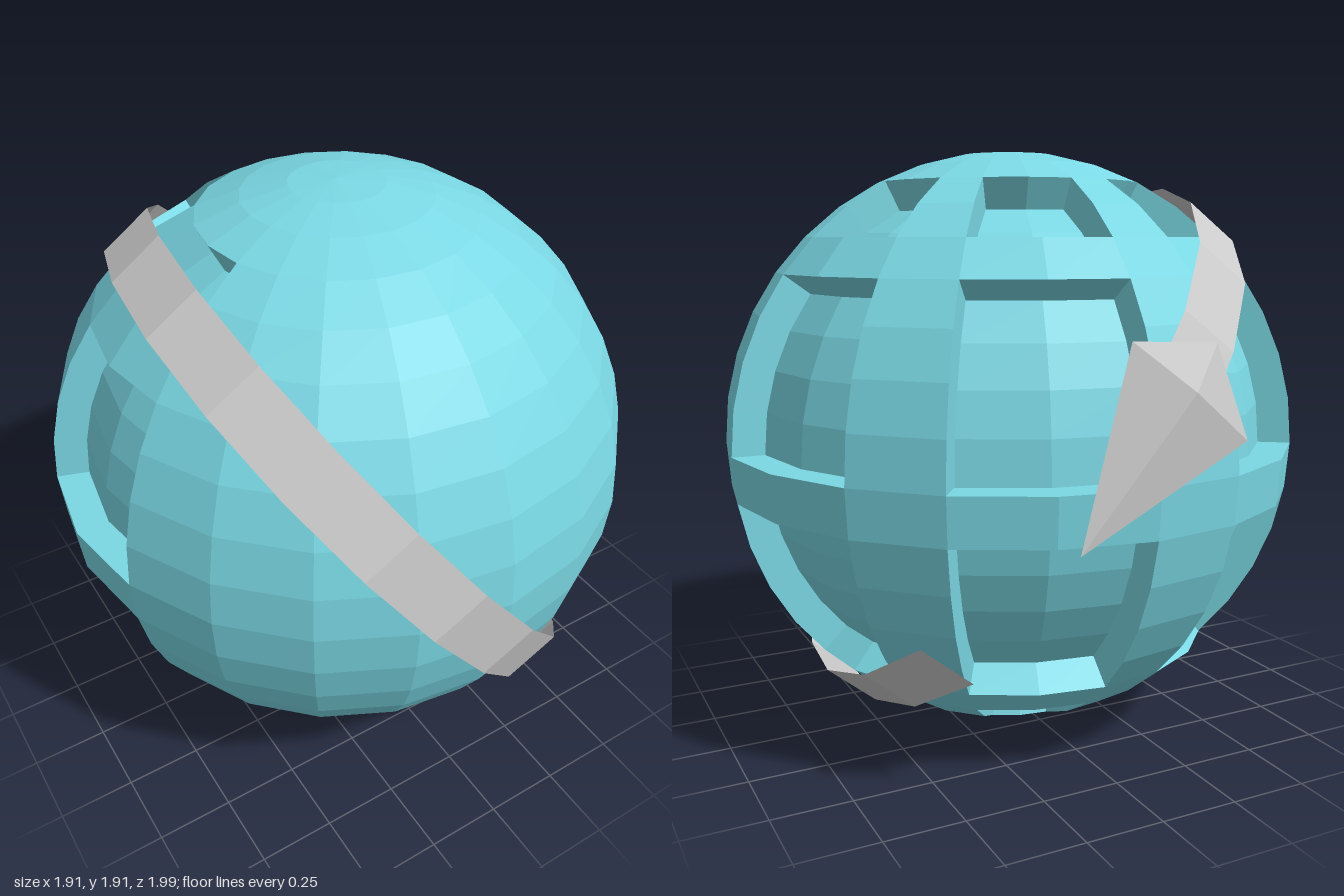
import * as THREE from 'three';

const R = 0.955, R_INNER = 0.85, CENTRE_Y = 0.955;
const DEG = Math.PI / 180;

// Flat-shaded mesh from a list of triangle corners
function facetMesh(name, points, material) {
  const geometry = new THREE.BufferGeometry().setFromPoints(points);
  geometry.computeVertexNormals();
  const mesh = new THREE.Mesh(geometry, material);
  mesh.name = name;
  return mesh;
}

function quad(out, a, b, c, d) {
  out.push(a, b, c, a, c, d);
}

// Point on the globe: i counts 18 degree columns, k counts 9 degree rows
function globePoint(r, i, k) {
  const lon = i * 18 * DEG, lat = k * 9 * DEG;
  return new THREE.Vector3(
    r * Math.cos(lat) * Math.cos(lon), r * Math.sin(lat), -r * Math.cos(lat) * Math.sin(lon));
}

// Sunken windows: four columns by four rows around the back
const windowColumns = [[0, 2], [3, 5], [6, 8], [9, 11]];
const windowRows = [[-8, -6], [-5, -1], [0, 4], [5, 7]];
const within = (spans, v) => spans.some(([from, to]) => v >= from && v < to);
const isSunken = (i, k) => within(windowColumns, (i + 20) % 20) && within(windowRows, k);

function buildGlobe(material) {
  const surface = [], walls = [];
  for (let i = 0; i < 20; i++) {
    for (let k = -10; k < 10; k++) {
      const sunken = isSunken(i, k);
      const corners = [[i, k], [i + 1, k], [i + 1, k + 1], [i, k + 1]];
      const [a, b, c, d] = corners.map(([x, y]) => globePoint(sunken ? R_INNER : R, x, y));
      if (k === -10) surface.push(a, c, d);
      else if (k === 9) surface.push(a, b, c);
      else quad(surface, a, b, c, d);
      if (!sunken) continue;
      // Side walls where the neighbouring cell is raised
      const neighbours = [[i, k - 1], [i + 1, k], [i, k + 1], [i - 1, k]];
      neighbours.forEach(([ni, nk], e) => {
        if (isSunken(ni, nk)) return;
        const p = corners[e], q = corners[(e + 1) % 4];
        quad(walls, globePoint(R, ...p), globePoint(R, ...q),
          globePoint(R_INNER, ...q), globePoint(R_INNER, ...p));
      });
    }
  }
  const globe = new THREE.Group();
  globe.name = 'globe';
  globe.add(facetMesh('globeSurface', surface, material), facetMesh('windowWalls', walls, material));
  return globe;
}

// Tilted ribbon circling the globe
function buildRibbon(material) {
  const forward = new THREE.Vector3(-0.094, -0.074, 0.99).normalize();
  const up = new THREE.Vector3(-0.62, 0.78, 0).normalize();
  const across = new THREE.Vector3().crossVectors(up, forward).normalize();
  const start = -132.6, end = 165.4, step = 17.86;
  const angles = [];
  for (let t = start; t < end; t += step) angles.push(t);
  angles.push(end);
  const edge = (t, side) => new THREE.Vector3()
    .addScaledVector(forward, 0.993 * Math.cos(t * DEG))
    .addScaledVector(up, 0.993 * Math.sin(t * DEG))
    .addScaledVector(across, side * 0.098);
  const points = [];
  for (let n = 0; n < angles.length - 1; n++) {
    const t0 = angles[n], t1 = angles[n + 1];
    quad(points, edge(t0, -1), edge(t0, 1), edge(t1, 1), edge(t1, -1));
  }
  return facetMesh('ribbon', points, material);
}

// Thin faceted arrowhead at the end of the ribbon
function buildArrowhead(material) {
  const top = new THREE.Vector3(0.10, 0.405, -0.945);
  const tip = new THREE.Vector3(0.26, -0.155, -0.965);
  const side = new THREE.Vector3(-0.25, 0.12, -0.995);
  const rear = new THREE.Vector3(-0.178, 0.39, -0.94);
  const ridge = new THREE.Vector3(-0.075, 0.265, -0.998);
  const under = new THREE.Vector3(-0.075, 0.255, -0.95);
  const rim = [top, tip, side, rear];
  const points = [];
  rim.forEach((p, n) => {
    const q = rim[(n + 1) % 4];
    points.push(ridge, p, q, under, q, p);
  });
  return facetMesh('arrowhead', points, material);
}

export function createModel() {
  const teal = new THREE.MeshStandardMaterial({ color: 0x7ad8e4, flatShading: true });
  const grey = new THREE.MeshStandardMaterial({
    color: 0xcccccc, flatShading: true, side: THREE.DoubleSide });
  const body = new THREE.Group();
  body.name = 'globeWithArrow';
  body.position.y = CENTRE_Y;
  body.add(buildGlobe(teal), buildRibbon(grey), buildArrowhead(grey));
  const model = new THREE.Group();
  model.add(body);
  return model;
}
